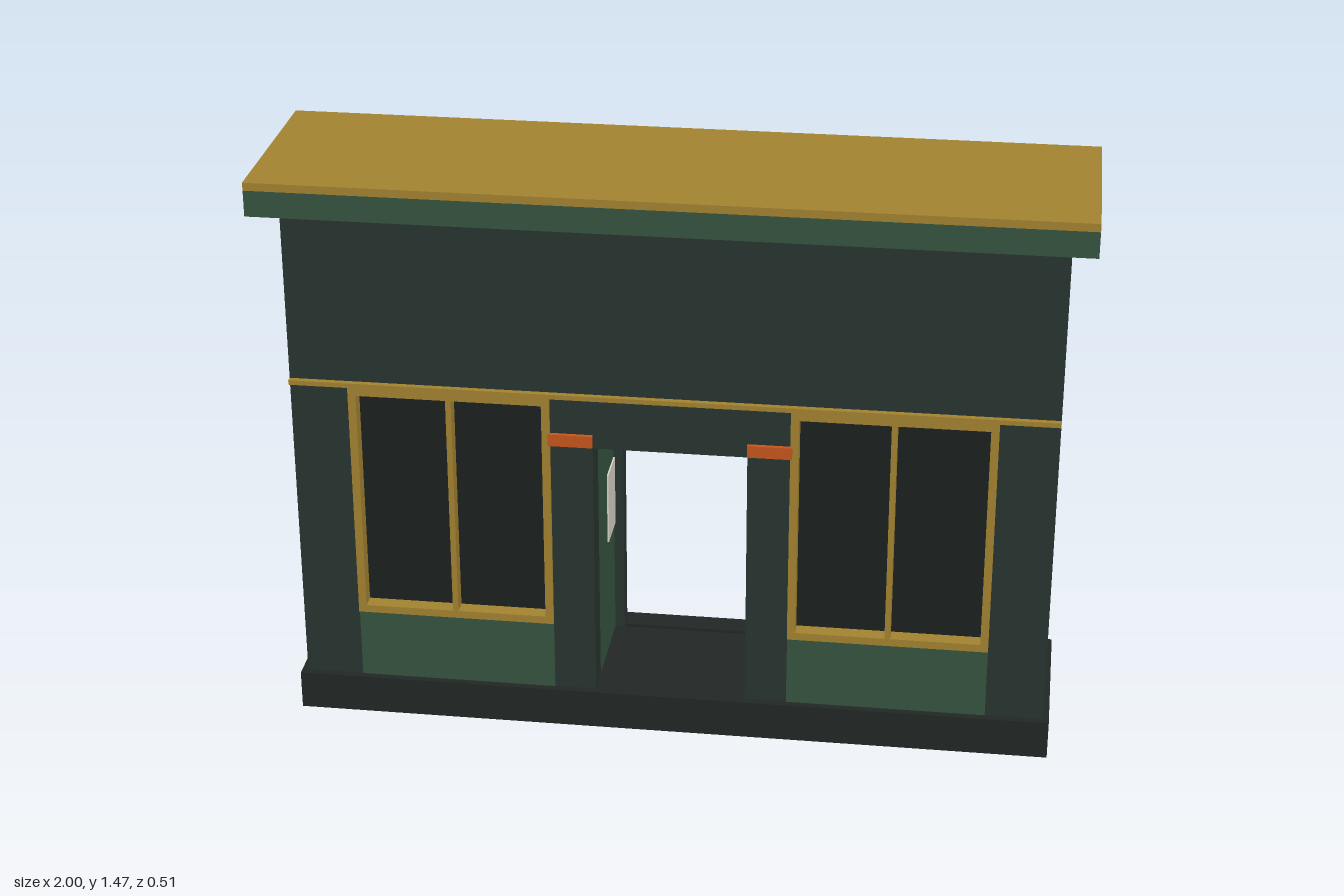
import * as THREE from 'three';

const mat = (color) => new THREE.MeshStandardMaterial({ color });
const M = {
  wall: mat(0x28342f), green: mat(0x36543f), gold: mat(0xa58431), glass: mat(0x1b211f),
  base: mat(0x222724), orange: mat(0xc8561c), paper: mat(0xdcd4c8),
};

// Box given by its minimum and maximum on each axis
function box(name, material, [x0, x1], [y0, y1], [z0, z1]) {
  const mesh = new THREE.Mesh(new THREE.BoxGeometry(x1 - x0, y1 - y0, z1 - z0), material);
  mesh.position.set((x0 + x1) / 2, (y0 + y1) / 2, (z0 + z1) / 2);
  mesh.name = name;
  return mesh;
}

function rect(target, x0, x1, y0, y1) {
  target.moveTo(x0, y0).lineTo(x1, y0).lineTo(x1, y1).lineTo(x0, y1).closePath();
  return target;
}

function extrude(name, material, shape, z0, z1) {
  const geo = new THREE.ExtrudeGeometry(shape, { depth: z1 - z0, bevelEnabled: false });
  geo.translate(0, 0, z0);
  const mesh = new THREE.Mesh(geo, material);
  mesh.name = name;
  return mesh;
}

// Framed two-pane window with the panel below it, centred on cx
function makeWindow(cx) {
  const g = new THREE.Group();
  g.name = 'window';
  const x0 = cx - 0.25, x1 = cx + 0.25;
  const frame = rect(new THREE.Shape(), x0, x1, 0.285, 0.913);
  frame.holes.push(rect(new THREE.Path(), x0 + 0.02, cx - 0.007, 0.305, 0.89));
  frame.holes.push(rect(new THREE.Path(), cx + 0.007, x1 - 0.02, 0.305, 0.89));
  g.add(
    extrude('windowFrame', M.gold, frame, 0.135, 0.176),
    box('windowGlass', M.glass, [x0, x1], [0.285, 0.905], [0.1, 0.137]),
    box('windowBack', M.green, [x0, x1], [0.285, 0.905], [0.081, 0.1]),
    box('lowerPanel', M.green, [x0, x1], [0.1, 0.285], [0.088, 0.169]),
  );
  return g;
}

export function createModel() {
  const model = new THREE.Group();
  model.name = 'shopFront';

  // Plinth and roof
  model.add(
    box('base', M.base, [-0.955, 0.955], [0, 0.1], [-0.237, 0.187]),
    box('cornice', M.green, [-1, 1], [1.38, 1.445], [-0.255, 0.255]),
    box('roofCap', M.gold, [-1, 1], [1.445, 1.465], [-0.255, 0.255]),
  );

  // Facade wall with a doorway notch and two window openings
  const wall = new THREE.Shape();
  [[-0.94, 0.1], [-0.19, 0.1], [-0.19, 0.78], [0.19, 0.78], [0.19, 0.1], [0.94, 0.1], [0.94, 1.38], [-0.94, 1.38]]
    .forEach(([x, y], i) => (i ? wall.lineTo(x, y) : wall.moveTo(x, y)));
  for (const s of [-1, 1]) wall.holes.push(rect(new THREE.Path(), s * 0.545 - 0.249, s * 0.545 + 0.249, 0.286, 0.904));
  model.add(extrude('facade', M.wall, wall, 0.09, 0.167));
  model.add(box('trimBand', M.gold, [-0.94, 0.94], [0.913, 0.925], [0.16, 0.182]));

  // Parts on both sides of the doorway
  const span = (s, a, b) => (s > 0 ? [a, b] : [-b, -a]);
  for (const s of [-1, 1]) {
    model.add(
      makeWindow(s * 0.545),
      box('doorSign', M.orange, span(s, 0.19, 0.3), [0.785, 0.816], [0.16, 0.178]),
      box('porchWall', M.green, span(s, 0.19, 0.235), [0.1, 0.765], [-0.2, 0.09]),
      box('doorJamb', M.wall, span(s, 0.165, 0.2), [0.1, 0.78], [-0.205, -0.16]),
    );
  }

  // Entrance porch ceiling, door head, threshold and notice
  model.add(
    box('porchCeiling', M.green, [-0.235, 0.235], [0.765, 0.78], [-0.2, 0.09]),
    box('doorLintel', M.wall, [-0.205, 0.205], [0.775, 0.811], [-0.206, -0.16]),
    box('threshold', M.base, [-0.165, 0.165], [0.1, 0.107], [-0.205, -0.16]),
    box('notice', M.paper, [-0.19, -0.186], [0.41, 0.6], [-0.155, -0.045]),
  );
  return model;
}
